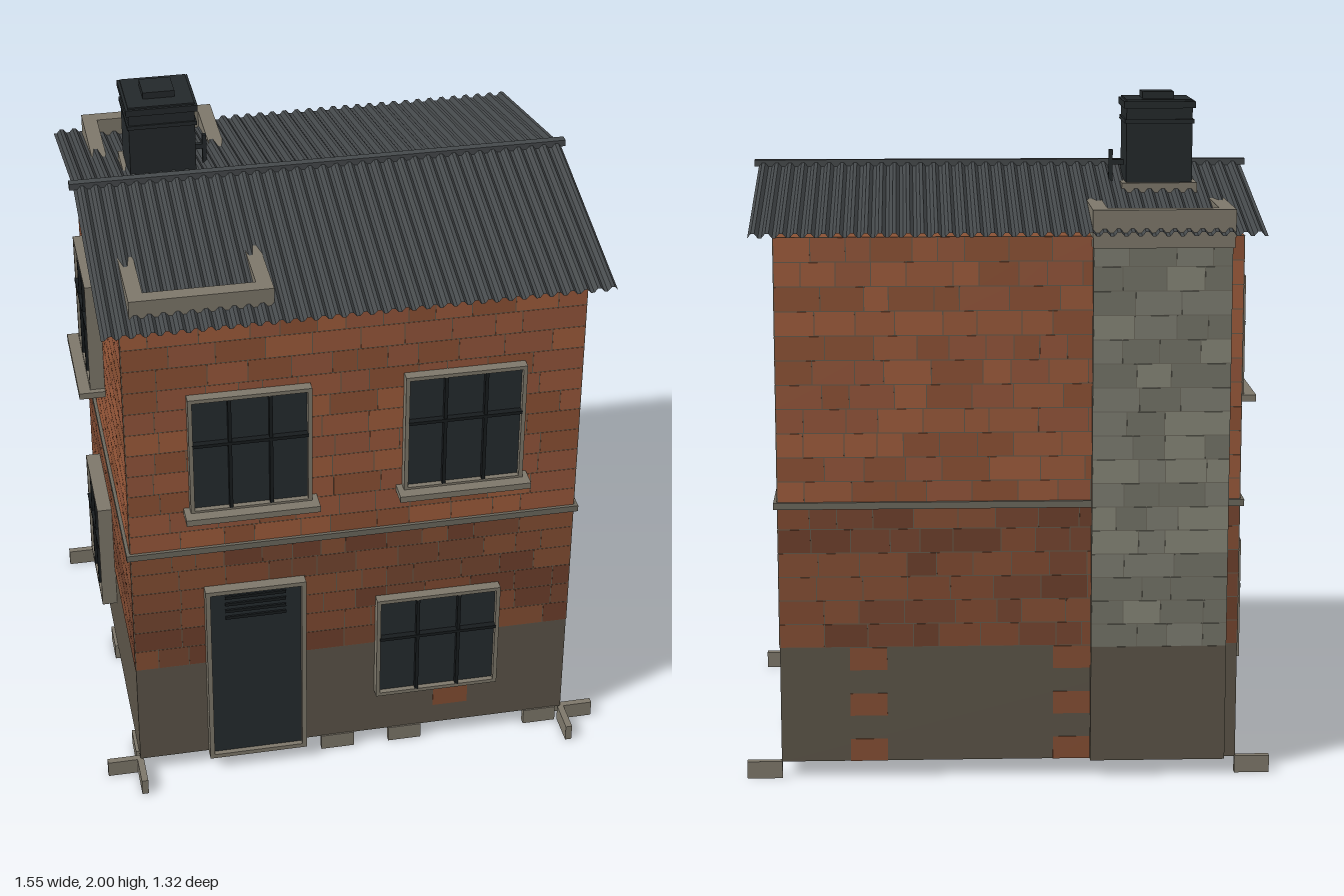
import * as THREE from 'three';
import { mergeGeometries } from 'three/addons/utils/BufferGeometryUtils.js';

const mat = (color, extra = {}) => new THREE.MeshStandardMaterial({ color, ...extra });
const DOUBLE = { side: THREE.DoubleSide };
const M = {
  plinth: mat(0x5b5448, DOUBLE),
  wall: mat(0x8a5234, DOUBLE),
  mortar: mat(0x64594a),
  upper: [0x93553a, 0x9d5b3b, 0x8c5134, 0x98583a].map(c => mat(c)),
  lower: [0x75452f, 0x804a31, 0x6d3f2b, 0x844e33].map(c => mat(c)),
  grey: [0x7c7c70, 0x858577, 0x737367].map(c => mat(c)),
  stone: mat(0x7d776a),
  trim: mat(0x6b685d),
  dark: mat(0x242b2e),
  bar: mat(0x171b1d),
  roof: mat(0x45494b, { ...DOUBLE, flatShading: true }),
  chimney: mat(0x23282a),
};

let seed = 7;
const rand = () => (seed = (seed * 16807) % 2147483647) / 2147483647;

// Box given by its lower and upper limits on each axis
function box(parent, name, material, x0, x1, y0, y1, z0, z1) {
  const mesh = new THREE.Mesh(new THREE.BoxGeometry(x1 - x0, y1 - y0, z1 - z0), material);
  mesh.position.set((x0 + x1) / 2, (y0 + y1) / 2, (z0 + z1) / 2);
  mesh.name = name;
  parent.add(mesh);
  return mesh;
}

// Courses of thin bricks of varied length, merged by colour
function bricks(parent, name, palette, x0, x1, y0, y1, rows, z = 0) {
  const sets = palette.map(() => []);
  const h = (y1 - y0) / rows, gap = 0.003;
  for (let r = 0; r < rows; r++) {
    let x = x0;
    while (x < x1 - 0.001) {
      let w = 0.07 + 0.08 * rand();
      if (x + w > x1 - 0.05) w = x1 - x;
      const g = new THREE.BoxGeometry(w - gap, h - gap, 0.004);
      g.translate(x + w / 2, y0 + (r + 0.5) * h, z);
      sets[Math.floor(rand() * palette.length)].push(g);
      x += w;
    }
  }
  sets.forEach((set, i) => {
    if (!set.length) return;
    const mesh = new THREE.Mesh(mergeGeometries(set), palette[i]);
    mesh.name = name;
    parent.add(mesh);
  });
}

// Box walls without a bottom, and without a top unless asked
function shell(parent, name, material, x0, x1, y0, y1, z0, z1, top) {
  const mesh = box(parent, name, material, x0, x1, y0, y1, z0, z1);
  const idx = [...mesh.geometry.index.array];
  mesh.geometry.setIndex(idx.filter((_, i) => i < 12 || i >= 24 || (top && i < 18)));
  mesh.geometry.clearGroups();
}

// Rectangular frame of four bars standing out from a wall
function frame(parent, x0, x1, y0, y1, t, depth) {
  box(parent, 'frameSide', M.stone, x0, x0 + t, y0, y1, 0, depth);
  box(parent, 'frameSide', M.stone, x1 - t, x1, y0, y1, 0, depth);
  box(parent, 'frameTop', M.stone, x0, x1, y1 - t, y1, 0, depth);
  box(parent, 'frameBottom', M.stone, x0, x1, y0, y0 + t, 0, depth);
}

function addWindow(face, x0, x1, y0, y1, depth, sill) {
  const g = new THREE.Group();
  g.name = 'window';
  frame(g, x0, x1, y0, y1, 0.012, depth);
  box(g, 'pane', M.dark, x0 + 0.01, x1 - 0.01, y0 + 0.01, y1 - 0.01, 0, depth * 0.5);
  for (const k of [1 / 3, 2 / 3]) {
    const x = x0 + (x1 - x0) * k;
    box(g, 'uprightBar', M.bar, x - 0.005, x + 0.005, y0 + 0.01, y1 - 0.01, depth * 0.5, depth);
  }
  const y = y0 + (y1 - y0) * 0.6;
  box(g, 'crossBar', M.bar, x0 + 0.01, x1 - 0.01, y - 0.005, y + 0.005, depth * 0.5, depth + 0.003);
  if (sill) box(g, 'sill', M.stone, x0 - 0.018, x1 + 0.018, y0 - 0.015, y0 + 0.005, 0, depth + 0.035);
  face.add(g);
}

// One corrugated slope from the ridge down to an eave
function roofSlope(zRidge, yRidge, zEave, yEave) {
  const ribs = 37, step = 4;
  const g = new THREE.PlaneGeometry(1.475, 1, ribs * step, 1);
  const p = g.attributes.position;
  const rise = [0, 0, 0.012, 0.012];
  for (let i = 0; i < p.count; i++) {
    const k = p.getY(i) + 0.5;
    const lift = rise[(i % (ribs * step + 1)) % step];
    p.setXYZ(i, p.getX(i), THREE.MathUtils.lerp(yEave, yRidge, k) + lift, THREE.MathUtils.lerp(zEave, zRidge, k));
  }
  g.computeVertexNormals();
  const mesh = new THREE.Mesh(g, M.roof);
  mesh.name = 'corrugatedRoof';
  return mesh;
}

export function createModel() {
  const house = new THREE.Group();
  house.name = 'brickHouse';
  const X0 = -0.68, X1 = 0.67, Z0 = -0.58, Z1 = 0.55;

  // Wall shells: open below, closed on top beneath the open gables
  shell(house, 'plinth', M.plinth, X0, X1, 0.05, 0.4, Z0, Z1, false);
  shell(house, 'brickWalls', M.wall, X0, X1, 0.4, 1.615, Z0, Z1, true);

  // Four wall faces, each with x across, y up and z outward
  const makeFace = (name, x, z, turn, width) => {
    const f = new THREE.Group();
    f.name = name;
    f.position.set(x, 0, z);
    f.rotation.y = turn;
    const w = width / 2;
    box(f, 'mortar', M.mortar, -w, w, 0.4, 1.615, -0.001, 0.001);
    bricks(f, 'lowerBricks', M.lower, -w, w, 0.4, 0.83, 6);
    bricks(f, 'upperBricks', M.upper, -w, w, 0.83, 1.615, 11);
    box(f, 'stringCourse', M.trim, -w - 0.012, w + 0.012, 0.82, 0.84, -0.01, 0.012);
    house.add(f);
    return f;
  };
  const cx = (X0 + X1) / 2, cz = (Z0 + Z1) / 2, W = X1 - X0, D = Z1 - Z0;
  const front = makeFace('frontWall', cx, Z1, 0, W);
  const back = makeFace('backWall', cx, Z0, Math.PI, W);
  const left = makeFace('leftWall', X1, cz, Math.PI / 2, D);
  const right = makeFace('rightWall', X0, cz, -Math.PI / 2, D);

  // Bare brick patches in the plinth
  const patch = (f, x, y) => box(f, 'brickPatch', M.lower[3], x - 0.055, x + 0.055, y, y + 0.068, -0.002, 0.002);
  patch(front, 0.31, 0.12);
  for (const y of [0.05, 0.19, 0.33]) {
    for (const z of [0.275, -0.275]) patch(left, cz - z, y);
    for (const x of [0.41, -0.19]) patch(back, cx - x, y);
  }

  // Windows
  addWindow(front, -0.495, -0.135, 0.98, 1.375, 0.033, true);
  addWindow(front, 0.14, 0.5, 0.98, 1.375, 0.033, true);
  addWindow(front, 0.065, 0.45, 0.21, 0.58, 0.033, false);
  addWindow(right, -0.27, 0.05, 1.09, 1.455, 0.047, true);
  addWindow(right, -0.27, 0.05, 0.27, 0.64, 0.047, false);

  // Door with a louvred top
  const door = new THREE.Group();
  door.name = 'door';
  frame(door, -0.46, -0.155, 0.045, 0.69, 0.014, 0.036);
  box(door, 'doorLeaf', M.dark, -0.447, -0.168, 0.05, 0.68, 0, 0.02);
  for (let i = 0; i < 4; i++) {
    box(door, 'louvre', M.bar, -0.4, -0.215, 0.575 + i * 0.025, 0.585 + i * 0.025, 0.02, 0.026);
  }
  front.add(door);

  // Grey pier on the back wall
  const pier = new THREE.Group();
  pier.name = 'backPier';
  box(pier, 'pierBase', M.plinth, -0.645, -0.245, 0.05, 0.4, -0.605, Z0);
  box(pier, 'pierCore', M.trim, -0.645, -0.245, 0.4, 1.6, -0.604, Z0);
  const pierFace = new THREE.Group();
  pierFace.rotation.y = Math.PI;
  pierFace.position.set(-0.445, 0, -0.604);
  bricks(pierFace, 'pierBricks', M.grey, -0.2, 0.2, 0.4, 1.6, 17);
  pier.add(pierFace);
  box(pier, 'pierCap', M.stone, -0.648, -0.242, 1.585, 1.63, -0.628, -0.57);
  house.add(pier);

  // Masonry upstand ring that breaks through the roof
  const ring = new THREE.Group();
  ring.name = 'roofUpstand';
  box(ring, 'upstandBack', M.stone, -0.65, -0.24, 1.615, 1.695, -0.63, -0.585);
  box(ring, 'upstandFront', M.stone, -0.65, -0.24, 1.615, 1.695, 0.5, 0.545);
  box(ring, 'upstandSide', M.stone, -0.65, -0.605, 1.615, 1.695, -0.585, 0.5);
  box(ring, 'upstandSide', M.stone, -0.285, -0.24, 1.615, 1.695, -0.585, 0.5);
  house.add(ring);

  // Roof and ridge
  house.add(roofSlope(-0.02, 1.765, 0.62, 1.623), roofSlope(-0.02, 1.765, -0.66, 1.623));
  box(house, 'ridgeCap', M.roof, -0.75, 0.75, 1.763, 1.783, -0.033, -0.008);

  // Chimney with flashing, bands and cap
  const chimney = new THREE.Group();
  chimney.name = 'chimney';
  const square = (name, m, half, y0, y1) =>
    box(chimney, name, m, -0.463 - half, -0.463 + half, y0, y1, -0.172 - half, -0.172 + half);
  square('flashing', M.stone, 0.112, 1.69, 1.735);
  square('stack', M.chimney, 0.098, 1.69, 1.98);
  square('band', M.chimney, 0.106, 1.955, 1.975);
  square('band', M.chimney, 0.103, 1.91, 1.922);
  square('cap', M.chimney, 0.047, 1.98, 2.0);
  box(chimney, 'bracket', M.chimney, -0.37, -0.32, 1.78, 1.795, -0.18, -0.166);
  box(chimney, 'post', M.chimney, -0.332, -0.32, 1.7, 1.825, -0.18, -0.166);
  house.add(chimney);

  // Loose footing stones under the wall edges
  for (const x of [-0.73, -0.055, 0.16, 0.6, 0.72]) {
    box(house, 'footingStone', M.stone, x - 0.052, x + 0.052, 0, 0.052, Z1 - 0.015, Z1 + 0.005);
  }
  for (const x of [-0.73, 0.72]) {
    box(house, 'footingStone', M.stone, x - 0.052, x + 0.052, 0, 0.052, Z0 - 0.005, Z0 + 0.015);
  }
  for (const x of [X0, X1]) for (const z of [0.605, 0.465, -0.07]) {
    box(house, 'footingStone', M.stone, x - 0.01, x + 0.01, 0, 0.052, z - 0.052, z + 0.052);
  }
  return house;
}
